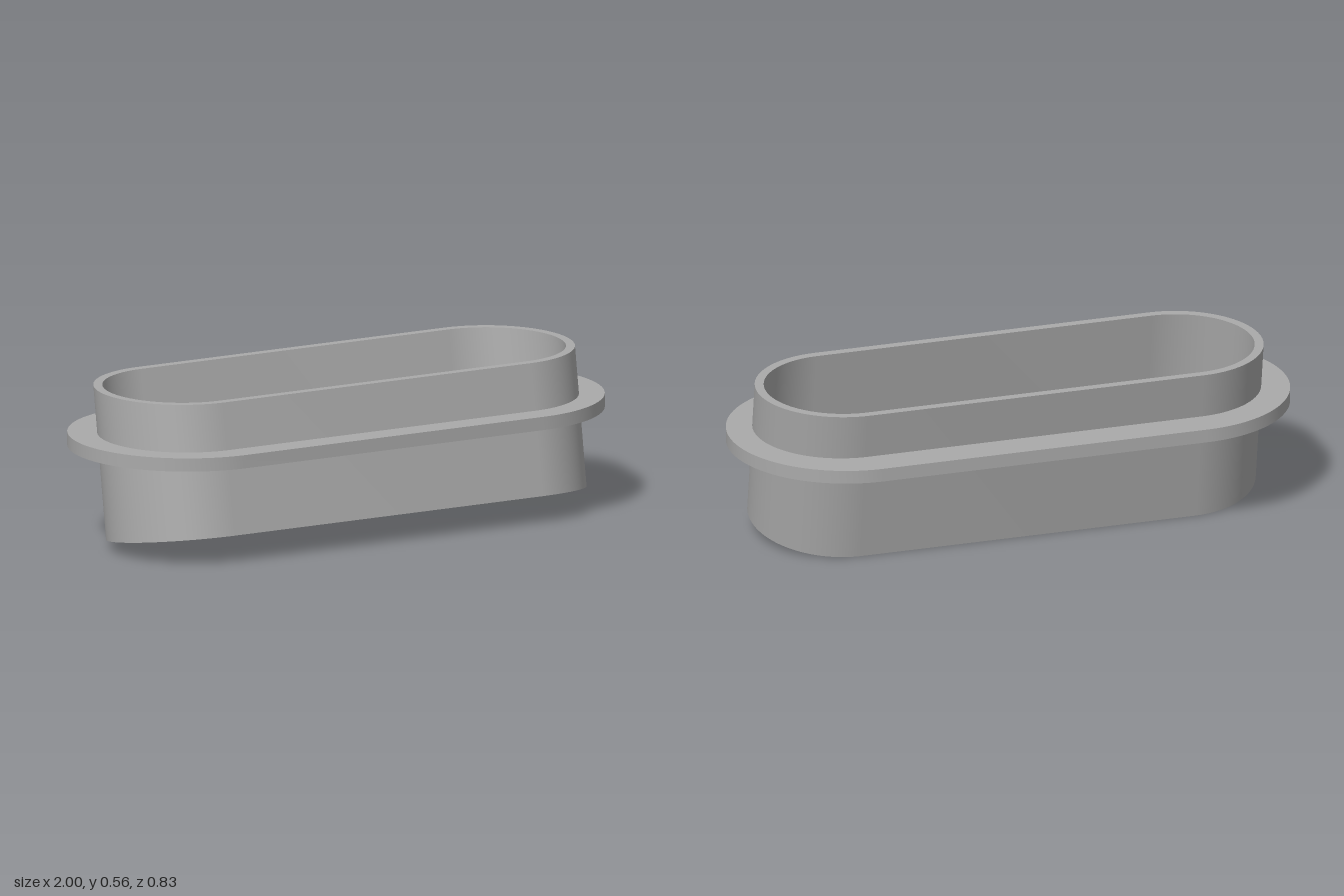
import * as THREE from 'three';
import { toCreasedNormals } from 'three/addons/utils/BufferGeometryUtils.js';

const TILT = 0.168;        // lean of the sleeve towards the back
const R = 0.302;           // sleeve end radius
const HALF = 0.603;        // half length of the straight sides
const WALL = 0.031;
const TOP = 0.556;
const BASE_Y = R * Math.sin(TILT);
const BASE_Z = 0.0725;

// Slot outline: two half circles joined by straight sides
function slot(half, r, PathType = THREE.Shape, dy = 0) {
  const p = new PathType();
  p.moveTo(-half, dy - r);
  p.lineTo(half, dy - r);
  p.absarc(half, dy, r, -Math.PI / 2, Math.PI / 2, false);
  p.lineTo(-half, dy + r);
  p.absarc(-half, dy, r, Math.PI / 2, Math.PI * 1.5, false);
  return p;
}

function extrude(shape, depth) {
  return new THREE.ExtrudeGeometry(shape, { depth, bevelEnabled: false, curveSegments: 40 });
}

export function createModel() {
  const model = new THREE.Group();
  const grey = new THREE.MeshStandardMaterial({ color: 0xaaaaaa });
  grey.name = 'grey';

  function add(name, geometry, parent) {
    const mesh = new THREE.Mesh(toCreasedNormals(geometry, 0.5), grey);
    mesh.name = name;
    parent.add(mesh);
    return mesh;
  }

  // Leaning cup, standing on a base square to its own axis
  const cup = new THREE.Group();
  cup.name = 'leaningCup';
  cup.rotation.x = -Math.PI / 2 - TILT;
  cup.position.set(0, BASE_Y, BASE_Z);
  model.add(cup);

  // Wall, with its upper end cut level
  const wallShape = slot(HALF, R);
  wallShape.holes.push(slot(HALF, R - WALL, THREE.Path));
  const wall = extrude(wallShape, 0.5);
  const pos = wall.attributes.position;
  for (let i = 0; i < pos.count; i++) {
    if (pos.getZ(i) > 0.25) {
      pos.setZ(i, (TOP - BASE_Y + pos.getY(i) * Math.sin(TILT)) / Math.cos(TILT));
    }
  }
  add('sleeveWall', wall, cup);

  // Closed floor
  add('floor', extrude(slot(HALF, R - WALL), WALL), cup);

  // Level flange, its opening hidden within the wall thickness
  const flangeShape = slot(0.586, 0.414);
  flangeShape.holes.push(slot(HALF, R - WALL / 2, THREE.Path, -0.018));
  const flange = add('flange', extrude(flangeShape, 0.047), model);
  flange.rotation.x = -Math.PI / 2;
  flange.position.y = 0.346;

  return model;
}
